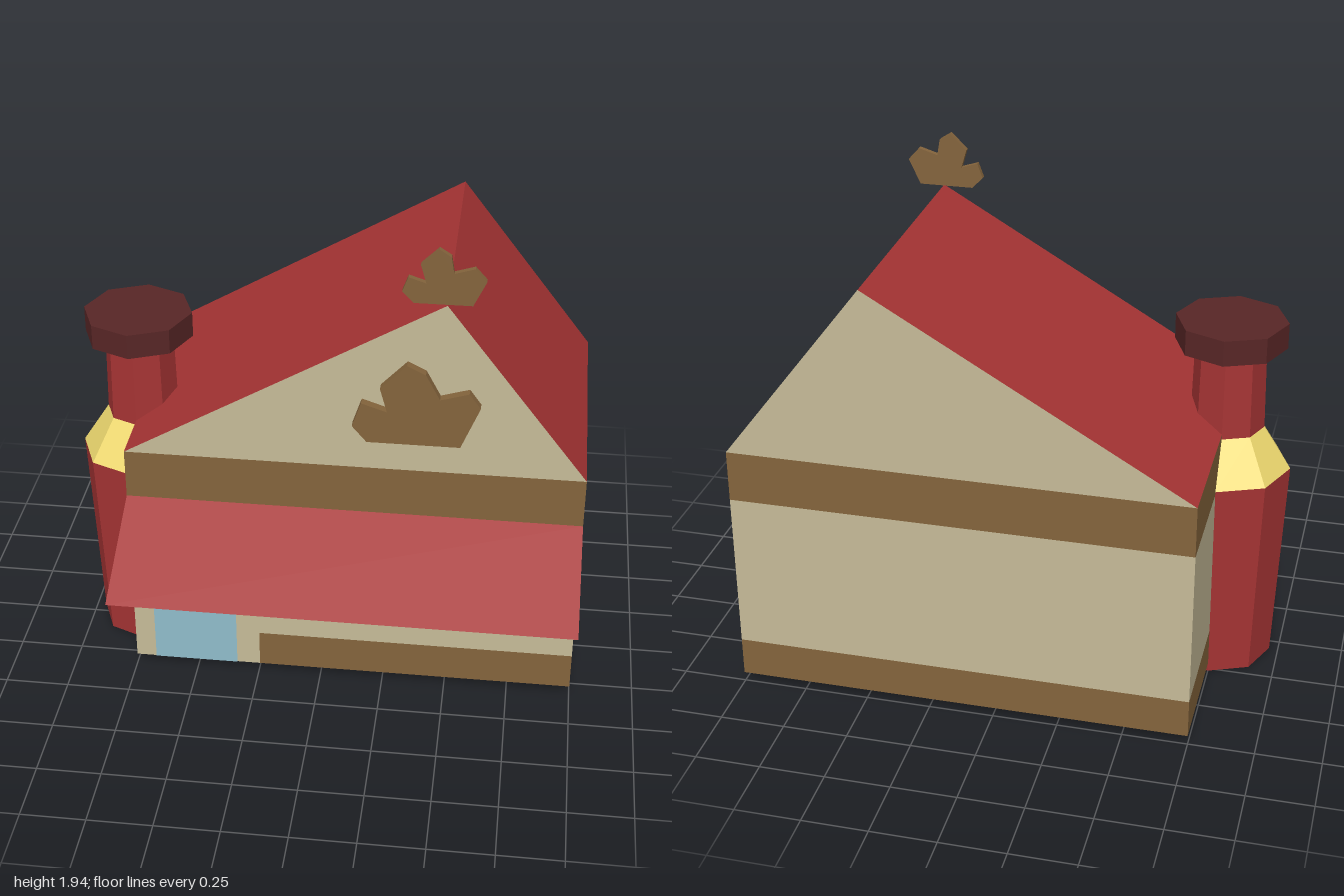
import * as THREE from 'three';

const BEIGE = 0xc6bb98, BROWN = 0x84643c, RED = 0xa63434, DARK_RED = 0x582626,
  YELLOW = 0xf0da70, BLUE = 0x90bccb;

// House extents and levels
const L = -0.75, R = 1, F = 0.32, B = -0.755;
const BASE = 0.04, SILL = 0.193, LINTEL = 0.815, EAVES = 1.015, RIDGE = 1.718, RIDGE_X = 0.46;

function add(parent, name, geometry, color, side = THREE.FrontSide) {
  const mesh = new THREE.Mesh(geometry,
    new THREE.MeshStandardMaterial({ color, side, flatShading: true }));
  mesh.name = name;
  parent.add(mesh);
  return mesh;
}

// Flat faces from corner lists, each anticlockwise as seen from outside
function faces(list) {
  const pos = [];
  for (const f of list)
    for (let i = 1; i < f.length - 1; i++) pos.push(...f[0], ...f[i], ...f[i + 1]);
  const g = new THREE.BufferGeometry();
  g.setAttribute('position', new THREE.Float32BufferAttribute(pos, 3));
  g.computeVertexNormals();
  return g;
}

// Upright wall strip following a ground path of [x, z] points
function strip(path, y0, y1) {
  const list = [];
  for (let i = 0; i < path.length - 1; i++) {
    const [a, c] = path[i], [b, d] = path[i + 1];
    list.push([[a, y0, c], [b, y0, d], [b, y1, d], [a, y1, c]]);
  }
  return faces(list);
}

// Thin plate cut to an outline
function plate(outline, depth) {
  const shape = new THREE.Shape(outline.map(([x, y]) => new THREE.Vector2(x, y)));
  return new THREE.ExtrudeGeometry(shape, { depth, bevelEnabled: false });
}

export function createModel() {
  const model = new THREE.Group();
  model.name = 'bakeryHouse';

  // Walls in horizontal bands
  const house = new THREE.Group();
  house.name = 'house';
  model.add(house);
  const loop = [[L, F], [R, F], [R, B], [L, B], [L, F]];
  const baseStart = -0.245;
  add(house, 'baseBand', strip([[baseStart, F], ...loop.slice(1)], BASE, SILL), BROWN);
  add(house, 'entranceWall', strip([[L, F], [baseStart, F]], BASE, SILL), BEIGE);
  add(house, 'walls', strip(loop, SILL, LINTEL), BEIGE);
  add(house, 'upperBand', strip(loop, LINTEL, EAVES), BROWN);
  add(house, 'floor', faces([[[L, BASE, B], [R, BASE, B], [R, BASE, F], [L, BASE, F]]]), BEIGE);
  add(house, 'door', strip([[-0.67, F + 0.003], [-0.337, F + 0.003]], BASE, 0.64), BLUE,
    THREE.DoubleSide);

  // Gables and lopsided roof
  add(house, 'gables', faces([
    [[L, EAVES, F], [R, EAVES, F], [RIDGE_X, RIDGE, F]],
    [[R, EAVES, B], [L, EAVES, B], [RIDGE_X, RIDGE, B]],
  ]), BEIGE);
  add(house, 'roof', faces([
    [[L, EAVES, B], [L, EAVES, F], [RIDGE_X, RIDGE, F], [RIDGE_X, RIDGE, B]],
    [[R, EAVES, F], [R, EAVES, B], [RIDGE_X, RIDGE, B], [RIDGE_X, RIDGE, F]],
  ]), RED);

  // Sloping awning over the front
  add(model, 'awning', faces([
    [[L, 0.613, 0.755], [R, 0.613, 0.755], [R, LINTEL, F], [L, LINTEL, F]],
  ]), RED, THREE.DoubleSide);

  // Eight-sided chimney on the right-hand wall
  const chimney = new THREE.Group();
  chimney.name = 'chimney';
  chimney.position.set(-0.75, 0, -0.05);
  model.add(chimney);
  const sections = [
    ['chimneyBody', 0.25, 0.215, 0, 0.828, RED],
    ['chimneyShoulder', 0.142, 0.25, 0.828, 0.995, YELLOW],
    ['chimneyNeck', 0.135, 0.142, 0.995, 1.33, RED],
    ['chimneyCap', 0.212, 0.212, 1.33, 1.43, DARK_RED],
  ];
  for (const [name, top, bottom, y0, y1, color] of sections)
    add(chimney, name, new THREE.CylinderGeometry(top, bottom, y1 - y0, 8), color)
      .position.y = (y0 + y1) / 2;

  // Jagged ornaments on the gable and the ridge
  add(model, 'gableOrnament', plate([
    [0.18, 1.15], [0.527, 1.15], [0.596, 1.321], [0.553, 1.38], [0.447, 1.348], [0.393, 1.449],
    [0.324, 1.483], [0.227, 1.38], [0.254, 1.283], [0.158, 1.315], [0.125, 1.215],
  ], 0.035), BROWN).position.z = F;
  add(model, 'ridgeOrnament', plate([
    [0.34, 1.722], [0.55, 1.722], [0.596, 1.82], [0.553, 1.868], [0.479, 1.845], [0.468, 1.909],
    [0.425, 1.937], [0.361, 1.874], [0.382, 1.802], [0.318, 1.823], [0.297, 1.765],
  ], 0.022), BROWN).position.z = 0.298;

  return model;
}
